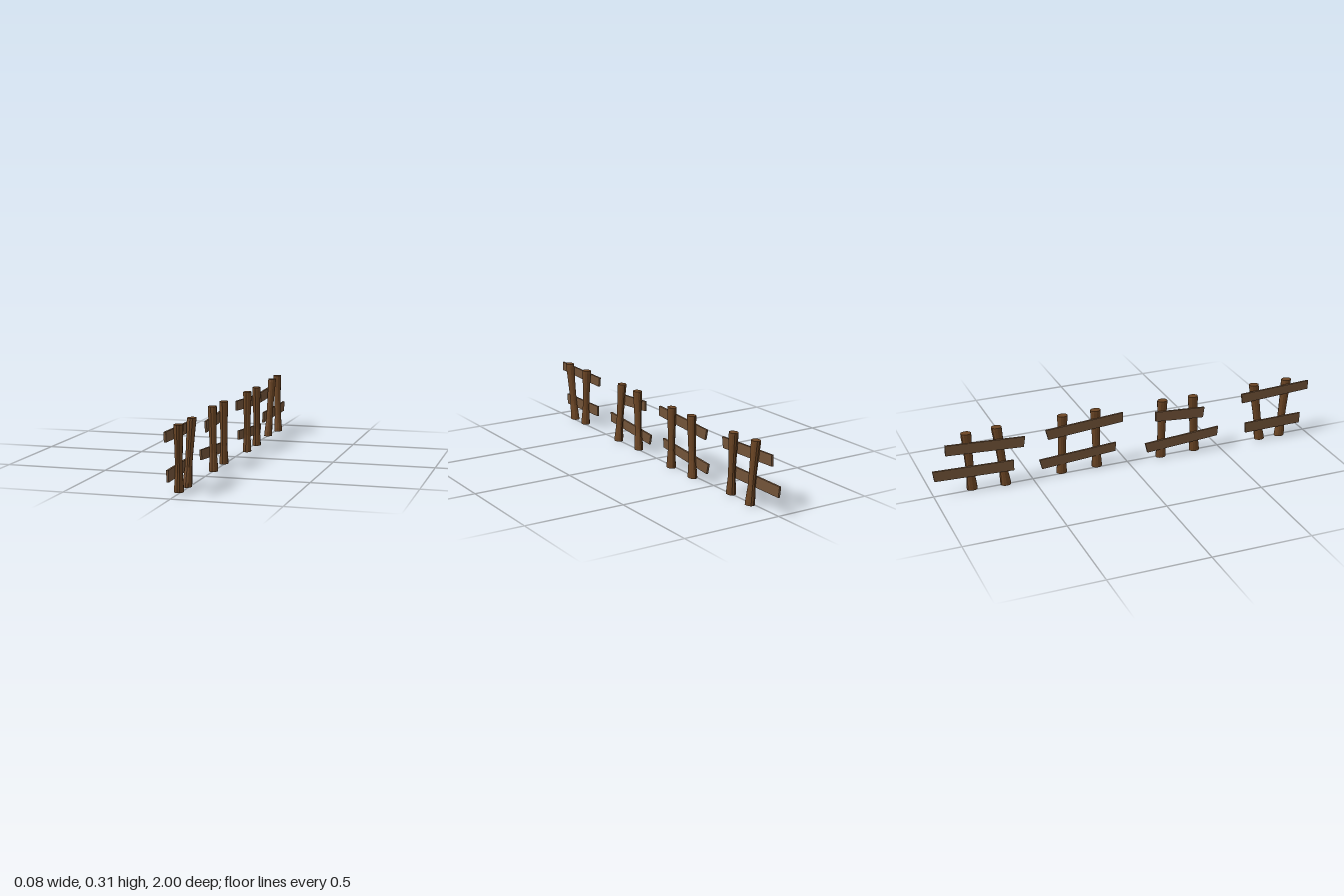
import * as THREE from 'three';

const postMaterial = new THREE.MeshStandardMaterial({ color: 0x6b4524, flatShading: true });
const plankMaterial = new THREE.MeshStandardMaterial({ color: 0x725338, flatShading: true });
const HEIGHT = 0.308;

// Flared post: bottom and top are [x, z] centres, the body leans between them
function post(name, bottom, top) {
  const profile = [[0, 0], [0.027, 0], [0.0265, 0.02], [0.0235, 0.055], [0.0205, 0.09],
    [0.021, 0.15], [0.0235, 0.23], [0.0265, 0.295], [0.0262, HEIGHT], [0, HEIGHT]];
  const geometry = new THREE.LatheGeometry(profile.map(([r, y]) => new THREE.Vector2(r, y)), 12);
  const p = geometry.attributes.position;
  for (let i = 0; i < p.count; i++) {
    const t = p.getY(i) / HEIGHT;
    p.setX(i, p.getX(i) * 0.8 + THREE.MathUtils.lerp(bottom[0], top[0], t));
    p.setZ(i, p.getZ(i) + THREE.MathUtils.lerp(bottom[1], top[1], t));
    p.setY(i, p.getY(i) + 0.002);
  }
  geometry.computeVertexNormals();
  const mesh = new THREE.Mesh(geometry, postMaterial);
  mesh.name = name;
  return mesh;
}

// Skewed board: each end is [x, upper z, upper y, lower z, lower y]
function plank(name, front, back) {
  const geometry = new THREE.BoxGeometry(0.01, 1, 1);
  const p = geometry.attributes.position;
  for (let i = 0; i < p.count; i++) {
    const end = p.getZ(i) > 0 ? front : back;
    const k = p.getY(i) > 0 ? 1 : 3;
    p.setXYZ(i, p.getX(i) + end[0], end[k + 1], end[k]);
  }
  geometry.computeVertexNormals();
  const mesh = new THREE.Mesh(geometry, plankMaterial);
  mesh.name = name;
  return mesh;
}

// Four fence pieces, each with two posts and two boards
const sections = [
  {
    posts: [[[-0.01, 0.853], [0, 0.885]], [[-0.01, 0.738], [0, 0.698]]],
    planks: [
      [[-0.023, 1.0, 0.294, 0.998, 0.248], [-0.032, 0.612, 0.283, 0.62, 0.233]],
      [[-0.027, 0.96, 0.119, 0.957, 0.064], [-0.034, 0.638, 0.118, 0.642, 0.064]],
    ],
  },
  {
    posts: [[[0, 0.369], [-0.012, 0.35]], [[-0.006, 0.18], [-0.004, 0.187]]],
    planks: [
      [[-0.028, 0.407, 0.246, 0.4, 0.192], [-0.025, 0.142, 0.262, 0.142, 0.211]],
      [[-0.027, 0.487, 0.124, 0.483, 0.075], [-0.024, 0.087, 0.097, 0.099, 0.046]],
    ],
  },
  {
    posts: [[[0.016, -0.158], [0.016, -0.163]], [[0.016, -0.345], [0.017, -0.334]]],
    planks: [
      [[-0.003, -0.025, 0.281, -0.025, 0.232], [-0.008, -0.431, 0.257, -0.418, 0.205]],
      [[-0.003, -0.063, 0.124, -0.067, 0.078], [0.003, -0.463, 0.097, -0.45, 0.046]],
    ],
  },
  {
    posts: [[[0, -0.639], [0.013, -0.671]], [[0.014, -0.805], [0.001, -0.825]]],
    planks: [
      [[-0.021, -0.54, 0.251, -0.548, 0.198], [-0.01, -0.933, 0.267, -0.933, 0.214]],
      [[-0.018, -0.6, 0.134, -0.6, 0.08], [-0.005, -1.0, 0.139, -0.993, 0.086]],
    ],
  },
];

export function createModel() {
  const fence = new THREE.Group();
  fence.name = 'brokenFence';
  sections.forEach(({ posts, planks }, i) => {
    const section = new THREE.Group();
    section.name = `fenceSection${i + 1}`;
    posts.forEach(([bottom, top], j) => section.add(post(['frontPost', 'backPost'][j], bottom, top)));
    planks.forEach(([front, back], j) => section.add(plank(['upperPlank', 'lowerPlank'][j], front, back)));
    fence.add(section);
  });
  return fence;
}
